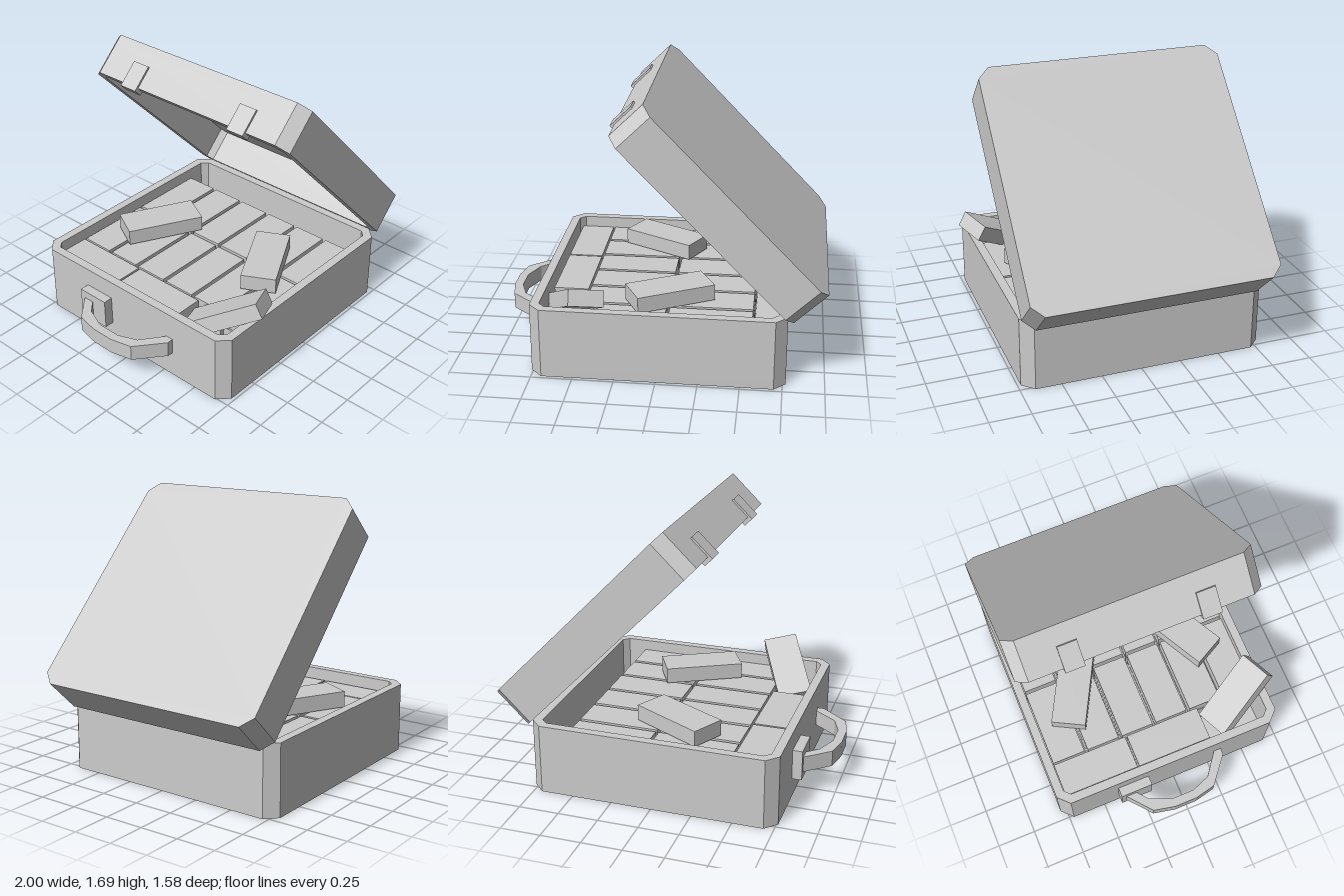
import * as THREE from 'three';

const material = new THREE.MeshStandardMaterial({ color: 0xcccccc, flatShading: true });
const SIZE = 1.53, DEPTH = 1.52, CHAMFER = 0.07, WALL = 0.055;

function add(parent, name, geometry, x = 0, y = 0, z = 0) {
  const mesh = new THREE.Mesh(geometry, material);
  mesh.name = name;
  mesh.position.set(x, y, z);
  parent.add(mesh);
  return mesh;
}

const box = (w, h, d) => new THREE.BoxGeometry(w, h, d);

// Rectangle with chamfered corners, shrunk by an inset
function outline(inset) {
  const a = SIZE / 2 - inset, b = DEPTH / 2 - inset, c = CHAMFER - inset * 0.59;
  return [
    [a, -b + c], [a, b - c], [a - c, b], [-a + c, b],
    [-a, b - c], [-a, -b + c], [-a + c, -b], [a - c, -b],
  ].map(([x, y]) => new THREE.Vector2(x, y));
}

// Extrude a plan shape (x, -z) upwards
function extrudeUp(shape, height) {
  return new THREE.ExtrudeGeometry(shape, { depth: height, bevelEnabled: false }).rotateX(-Math.PI / 2);
}

// Open tray: walls plus a plate closing one end
function tray(parent, name, height, plateOnTop) {
  const plate = 0.05;
  const ring = new THREE.Shape(outline(0));
  ring.holes.push(new THREE.Path(outline(WALL)));
  add(parent, name + 'Walls', extrudeUp(ring, height - plate), 0, plateOnTop ? 0 : plate, -0.03);
  add(parent, name + 'Plate', extrudeUp(new THREE.Shape(outline(0)), plate), 0, plateOnTop ? height - plate : 0, -0.03);
}

export function createModel() {
  const model = new THREE.Group();
  model.name = 'openCase';

  // Case bottom
  const base = new THREE.Group();
  base.name = 'base';
  base.position.x = 0.005;
  tray(base, 'base', 0.44, false);
  model.add(base);

  // Lid, swung open about the +x edge
  const lid = new THREE.Group();
  lid.name = 'lid';
  lid.position.set(0.27, 0.957, 0);
  lid.rotation.z = -0.8;
  tray(lid, 'lid', 0.27, true);
  for (const z of [-0.45, 0.39]) {
    add(lid, 'latch', box(0.065, 0.17, 0.12), -SIZE / 2 + 0.02, 0.06, z);
  }
  model.add(lid);

  // Layers of bundles: one column lengthwise, two columns crosswise
  const bundles = new THREE.Group();
  bundles.name = 'packedBundles';
  for (let layer = 0; layer < 3; layer++) {
    const y = 0.1 + layer * 0.11;
    for (let i = 0; i < 2; i++) {
      add(bundles, 'bundle', box(0.215, 0.1, 0.495), -0.58, y, -0.482 + i * 0.508);
    }
    for (let column = 0; column < 2; column++) {
      for (let row = 0; row < 6; row++) {
        add(bundles, 'bundle', box(0.5, 0.1, 0.215), -0.21 + column * 0.52, y, -0.62 + row * 0.239);
      }
    }
  }
  model.add(bundles);

  // Loose bundles lying on top
  add(model, 'looseBundle', box(0.5, 0.1, 0.22), -0.06, 0.43, -0.43).rotation.y = -0.49;
  add(model, 'looseBundle', box(0.5, 0.1, 0.22), 0.05, 0.43, 0.375).rotation.y = 0.49;

  // Bundle propped over the rim
  const along = new THREE.Vector3(0.2, 0.22, 0.38).normalize();
  const across = new THREE.Vector3(0.19, -0.04, -0.085);
  const up = along.clone().cross(across).normalize();
  across.crossVectors(up, along);
  const propped = add(model, 'proppedBundle', box(0.215, 0.1, 0.49));
  propped.quaternion.setFromRotationMatrix(new THREE.Matrix4().makeBasis(across, up, along));
  propped.position.set(-0.505, 0.465, 0.51).addScaledVector(up, -0.05);

  // Carrying handle with its single mounting plate
  const handle = new THREE.Group();
  handle.name = 'handle';
  const path = [
    [-0.755, 0.325], [-0.8, 0.325], [-0.97, 0.185], [-1, 0.05], [-1, -0.1], [-0.97, -0.24], [-0.81, -0.375],
    [-0.81, -0.305], [-0.89, -0.235], [-0.945, -0.1], [-0.945, 0.05], [-0.9, 0.17], [-0.755, 0.28],
  ];
  const grip = new THREE.Shape(path.map(([x, z]) => new THREE.Vector2(x, -z)));
  add(handle, 'grip', extrudeUp(grip, 0.1), 0, 0.17, 0);
  add(handle, 'handleMount', box(0.07, 0.19, 0.21), -0.785, 0.225, -0.293);
  model.add(handle);

  return model;
}
